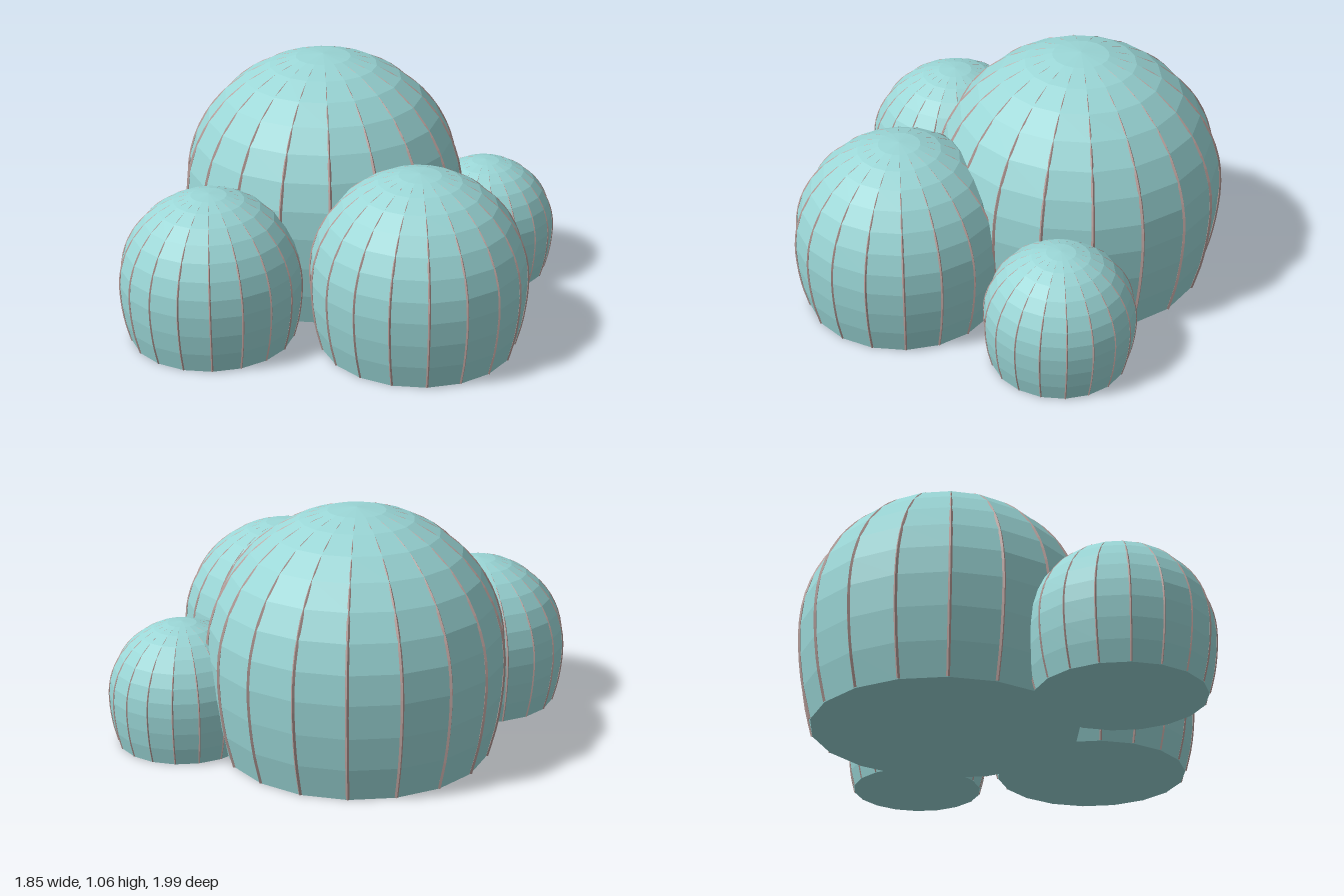
import * as THREE from 'three';

const SIDES = 18;
const skin = new THREE.MeshStandardMaterial({ color: 0x9ad6d6, flatShading: true });
const seam = new THREE.MeshStandardMaterial({ color: 0xb59c98, flatShading: true, side: THREE.DoubleSide });

// Dome outline for radius 1, from the base rim up to the apex
function domeProfile() {
  const points = [];
  const belly = 0.68; // height of the widest ring
  for (let i = 0; i < 3; i++) {
    const y = -belly * (1 - i / 3);
    points.push(new THREE.Vector2(Math.sqrt(1 - (y / 1.56) ** 2), y + belly));
  }
  for (let i = 0; i <= 8; i++) {
    const a = (i / 8) * Math.PI / 2;
    points.push(new THREE.Vector2(i === 8 ? 0 : Math.cos(a), Math.sin(a) + belly));
  }
  return points;
}

// One ribbed dome with a closed flat base
function createDome(name, x, z, radius) {
  const dome = new THREE.Group();
  dome.name = name;
  const profile = domeProfile();

  const body = new THREE.Mesh(
    new THREE.LatheGeometry([new THREE.Vector2(0, 0), ...profile], SIDES), skin);
  body.name = 'domeBody';
  dome.add(body);

  // Thin ribs along every corner, sinking into the skin towards the apex
  const path = new THREE.CatmullRomCurve3(profile.map((p) => {
    const sink = 1 - 0.009 * Math.max(0, p.y - 0.68);
    return new THREE.Vector3(0, Math.max(p.y * sink, 0.004), p.x * sink);
  }));
  const ribGeometry = new THREE.TubeGeometry(path, 22, 0.012, 4);
  for (let i = 0; i < SIDES; i++) {
    const rib = new THREE.Mesh(ribGeometry, seam);
    rib.name = 'rib';
    rib.rotation.y = (i / SIDES) * Math.PI * 2;
    dome.add(rib);
  }

  dome.scale.setScalar(radius);
  dome.position.set(x, 0, z);
  return dome;
}

export function createModel() {
  const model = new THREE.Group();
  model.name = 'domeCluster';
  model.add(
    createDome('largeDome', -0.297, -0.21, 0.632),
    createDome('mediumDome', 0.46, 0.117, 0.466),
    createDome('frontDome', -0.295, 0.594, 0.394),
    createDome('backDome', 0.283, -0.678, 0.32),
  );
  return model;
}
